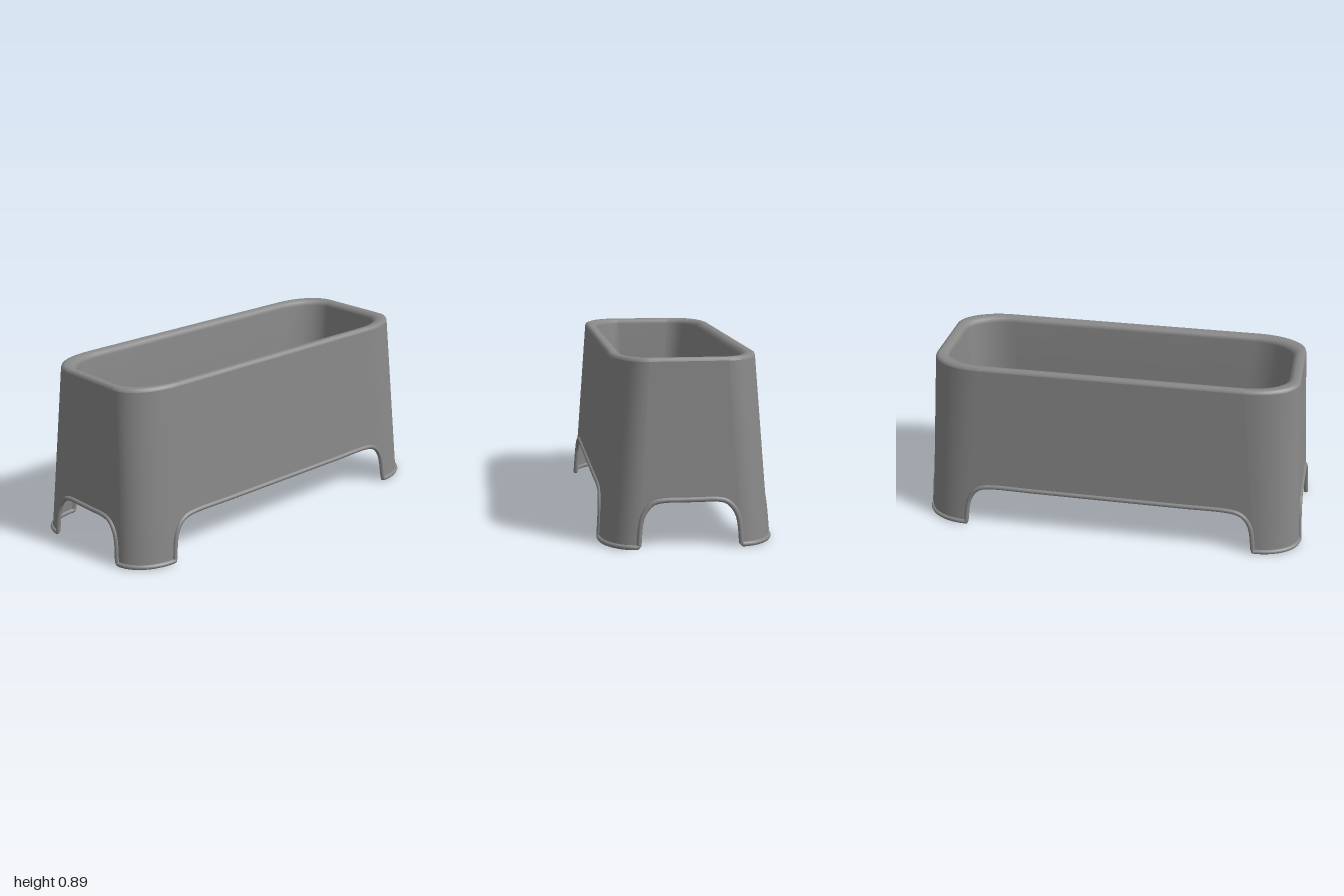
import * as THREE from 'three';

// Columns of one quarter of the outline: end wall, rounded corner, long wall.
// Each has a position along its section and the height of the lower edge there.
const quarter = [];
const endEdge = [[0, .23], [.065, .23], [.13, .23], [.185, .22], [.22, .19], [.24, .15], [.247, .1], [.249, .012]];
const longEdge = [[.768, .012], [.765, .1], [.758, .15], [.735, .195], [.70, .22], [.64, .23], [.4, .23], [.2, .23], [0, .23]];
endEdge.forEach(([z, b]) => quarter.push({ end: z / .25, b }));
for (let i = 0; i <= 12; i++) quarter.push({ angle: i / 12 * Math.PI / 2, b: .012 });
longEdge.forEach(([x, b]) => quarter.push({ long: x / .77, b }));

// Four mirrored quarters make the closed loop of columns.
const columns = [];
[[1, 1], [-1, 1], [-1, -1], [1, -1]].forEach(([sx, sz], q) => {
  const part = q % 2 ? quarter.slice(1, -1).reverse() : quarter;
  part.forEach(c => columns.push({ ...c, sx, sz }));
});

// Point of a column on a rounded rectangle with half sizes hx, hz and corner radii rx, rz.
function pointOn(c, y, hx, hz, rx, rz) {
  let x, z;
  if (c.end !== undefined) { x = hx; z = c.end * (hz - rz); }
  else if (c.long !== undefined) { x = c.long * (hx - rx); z = hz; }
  else { x = hx - rx + rx * Math.cos(c.angle); z = hz - rz + rz * Math.sin(c.angle); }
  return new THREE.Vector3(x * c.sx, y, z * c.sz);
}

const ring = (...size) => columns.map(c => pointOn(c, ...size));

// Tapering wall of the outer shell.
function wallPoint(c, y) {
  const k = y / .875;
  return pointOn(c, y, .985 - .049 * k, .411 - .06 * k, .22 + .04 * k, .165);
}

// Smooth skin over closed loops of equal length.
function loft(rings) {
  const n = rings[0].length, index = [];
  for (let r = 0; r < rings.length - 1; r++) {
    for (let i = 0; i < n; i++) {
      const a = r * n + i, b = r * n + (i + 1) % n;
      index.push(a, a + n, b, b, a + n, b + n);
    }
  }
  const g = new THREE.BufferGeometry().setFromPoints(rings.flat());
  g.setIndex(index);
  g.computeVertexNormals();
  return g;
}

function roundedRect(x, z, w, d, r) {
  const s = new THREE.Shape();
  const corners = [[1, 1, 0], [-1, 1, 1], [-1, -1, 2], [1, -1, 3]];
  corners.forEach(([sx, sz, q]) =>
    s.absarc(x + sx * (w / 2 - r), z + sz * (d / 2 - r), r, q * Math.PI / 2, (q + 1) * Math.PI / 2, false));
  s.closePath();
  return s;
}

export function createModel() {
  const group = new THREE.Group();
  const plastic = new THREE.MeshStandardMaterial({ color: 0x888888, side: THREE.DoubleSide });
  plastic.name = 'grey plastic';
  const add = (name, geometry, y = 0) => {
    const mesh = new THREE.Mesh(geometry, plastic);
    mesh.name = name;
    mesh.position.y = y;
    group.add(mesh);
  };

  // Outer shell, with the four legs left by the arched openings
  const rows = [0, .15, .35, .6, .8, 1];
  add('outerShell', loft(rows.map(t => columns.map(c => wallPoint(c, c.b + (.875 - c.b) * t)))));

  // Rounded lip following the lower edge
  const edge = new THREE.CatmullRomCurve3(columns.map(c => wallPoint(c, c.b)), true, 'centripetal');
  add('lowerLip', new THREE.TubeGeometry(edge, 400, .012, 8, true));

  // Rim, inner wall and rounded foot of the tub
  add('rimAndTub', loft([
    [.875, .936, .351, .26, .165],
    [.887, .932, .347, .256, .163],
    [.892, .92, .335, .25, .16],
    [.890, .90, .315, .24, .155],
    [.882, .883, .298, .23, .15],
    [.865, .873, .288, .225, .148],
    [.6, .858, .272, .215, .145],
    [.31, .842, .256, .205, .14],
    [.27, .836, .248, .2, .14],
    [.25, .824, .228, .19, .135],
    [.24, .80, .20, .17, .13],
  ].map(p => ring(...p))));

  // Tub floor with five raised panels and four drain holes
  const floorY = .24, rise = .02;
  const outline = ring(floorY, .80, .20, .17, .13).map(p => new THREE.Vector2(p.x, p.z));
  const floor = new THREE.Shape(outline);
  const flat = shape => new THREE.ShapeGeometry(shape, 6).rotateX(-Math.PI / 2);

  [[-.56, .22], [-.3, .22], [0, .27], [.285, .23], [.55, .23]].forEach(([x, w]) => {
    floor.holes.push(roundedRect(x, 0, w, .29, .03));
    const top = roundedRect(x, 0, w - .016, .274, .025);
    const loop = (shape, y) => shape.getPoints(6).slice(0, -1).map(p => new THREE.Vector3(p.x, y, p.y));
    add('panelTop', flat(top), floorY + rise);
    add('panelSide', loft([loop(roundedRect(x, 0, w, .29, .03), 0), loop(top, rise)]), floorY);
  });

  for (const x of [-.715, .715]) for (const z of [-.145, .145]) {
    floor.holes.push(new THREE.Path().absarc(x, z, .014, 0, Math.PI * 2, true));
  }
  add('tubFloor', flat(floor), floorY);

  return group;
}
